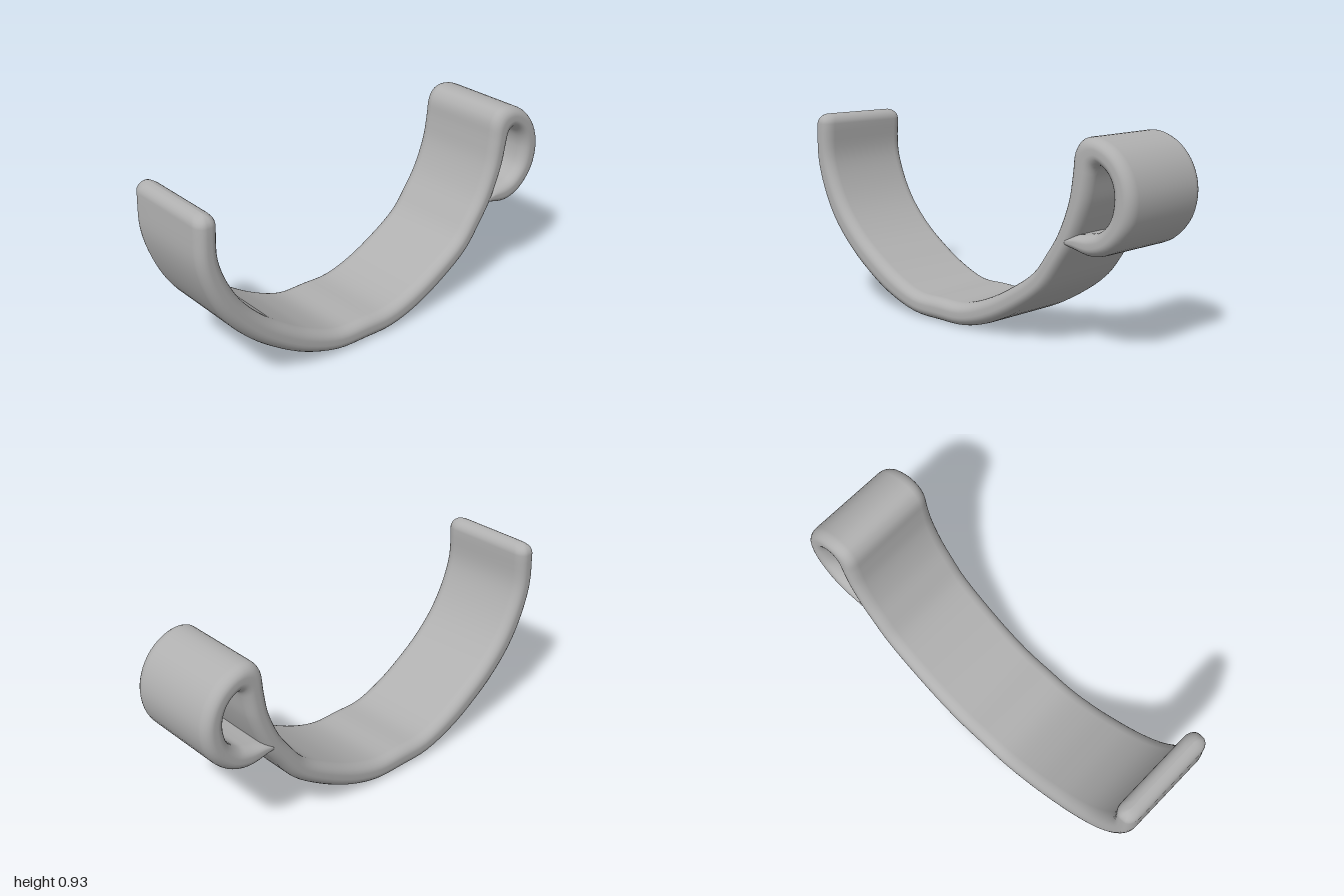
import * as THREE from 'three';

const HALF_WIDTH = 0.252; // half the strap width along z
const EDGE = 0.055;       // rounding of the strap edges along z
const FLAT = 0.2;         // flat share of the half thickness at the edges

// Strap profile: [right-hand side x, y, left-hand side x, y] along the path
const PROFILE = [
  [-1, 0.87, -0.9, 0.87], [-1, 0.7, -0.9, 0.71], [-0.955, 0.54, -0.855, 0.575],
  [-0.875, 0.39, -0.78, 0.45], [-0.75, 0.254, -0.67, 0.335], [-0.62, 0.155, -0.555, 0.25],
  [-0.473, 0.07, -0.43, 0.175], [-0.286, 0.008, -0.27, 0.112], [-0.12, 0, -0.12, 0.108],
  [0.035, 0.002, 0.02, 0.108], [0.195, 0.045, 0.165, 0.15], [0.38, 0.14, 0.33, 0.233],
  [0.53, 0.25, 0.465, 0.325], [0.62, 0.37, 0.54, 0.42], [0.69, 0.48, 0.605, 0.52],
  // arm and curled loop
  [0.757, 0.65, 0.66, 0.66], [0.78, 0.757, 0.68, 0.783], [0.79, 0.79, 0.692, 0.875],
  [0.8, 0.805, 0.73, 0.922], [0.82, 0.815, 0.8, 0.93], [0.86, 0.79, 0.9, 0.885],
  [0.885, 0.75, 0.97, 0.8], [0.895, 0.69, 1, 0.69], [0.875, 0.6, 0.976, 0.57],
  [0.82, 0.545, 0.89, 0.47], [0.77, 0.53, 0.79, 0.435], [0.71, 0.52, 0.69, 0.455],
  [0.67, 0.51, 0.66, 0.465],
];

// Cross-section: rounded rectangle, d across the thickness (-1..1), z across the width
function crossSection(halfWidth) {
  const points = [];
  for (let q = 0; q < 4; q++) {
    const sd = q === 0 || q === 3 ? 1 : -1;
    const sz = q < 2 ? 1 : -1;
    for (let k = 0; k <= 6; k++) {
      const a = (q + k / 6) * Math.PI / 2;
      points.push([sd * FLAT + (1 - FLAT) * Math.cos(a), sz * (halfWidth - EDGE) + EDGE * Math.sin(a)]);
    }
  }
  return points;
}

function strapGeometry() {
  const side = (o) => new THREE.CatmullRomCurve3(
    PROFILE.map((p) => new THREE.Vector3(p[o], p[o + 1], 0)), false, 'centripetal');
  const right = side(0), left = side(2);
  const steps = (PROFILE.length - 1) * 4;
  const rings = [];
  const addRing = (r, l, scale, push) => {
    const centre = r.clone().add(l).multiplyScalar(0.5);
    const half = r.clone().sub(l).multiplyScalar(0.5);
    const along = new THREE.Vector3(-half.y, half.x, 0).multiplyScalar(push);
    rings.push(crossSection(HALF_WIDTH - EDGE * (1 - scale)).map(([d, z]) => {
      const v = centre.clone().add(along).addScaledVector(half, d * scale);
      return [v.x, v.y, z];
    }));
  };
  // rounded end, body, rounded end
  const capSteps = 6;
  for (let i = 0; i < capSteps; i++) {
    const a = (1 - i / capSteps) * Math.PI / 2;
    addRing(right.getPoint(0), left.getPoint(0), Math.cos(a), -Math.sin(a));
  }
  for (let i = 0; i <= steps; i++) addRing(right.getPoint(i / steps), left.getPoint(i / steps), 1, 0);
  for (let i = 1; i <= capSteps; i++) {
    const a = (i / capSteps) * Math.PI / 2;
    addRing(right.getPoint(1), left.getPoint(1), Math.cos(a), Math.sin(a));
  }
  // The end rings must run along the path: the cap offset points away from the body
  const n = rings[0].length;
  if (rings[0][0][1] < rings[capSteps][0][1]) throw new Error('end cap is inverted');
  const index = [];
  for (let i = 0; i < rings.length - 1; i++) {
    for (let j = 0; j < n; j++) {
      const k = (j + 1) % n;
      const a = i * n + j, b = i * n + k, c = a + n, d = b + n;
      index.push(a, c, b, b, c, d);
    }
  }
  const geometry = new THREE.BufferGeometry();
  geometry.setAttribute('position', new THREE.Float32BufferAttribute(rings.flat(2), 3));
  geometry.setIndex(index);
  geometry.computeVertexNormals();
  return geometry;
}

export function createModel() {
  const group = new THREE.Group();
  group.name = 'curvedStrap';
  const grey = new THREE.MeshStandardMaterial({ color: 0xb0b0b0 });
  grey.name = 'plain grey';

  // One continuous band that curls back on itself at the left end
  const strap = new THREE.Mesh(strapGeometry(), grey);
  strap.name = 'strapWithLoop';
  group.add(strap);
  return group;
}
